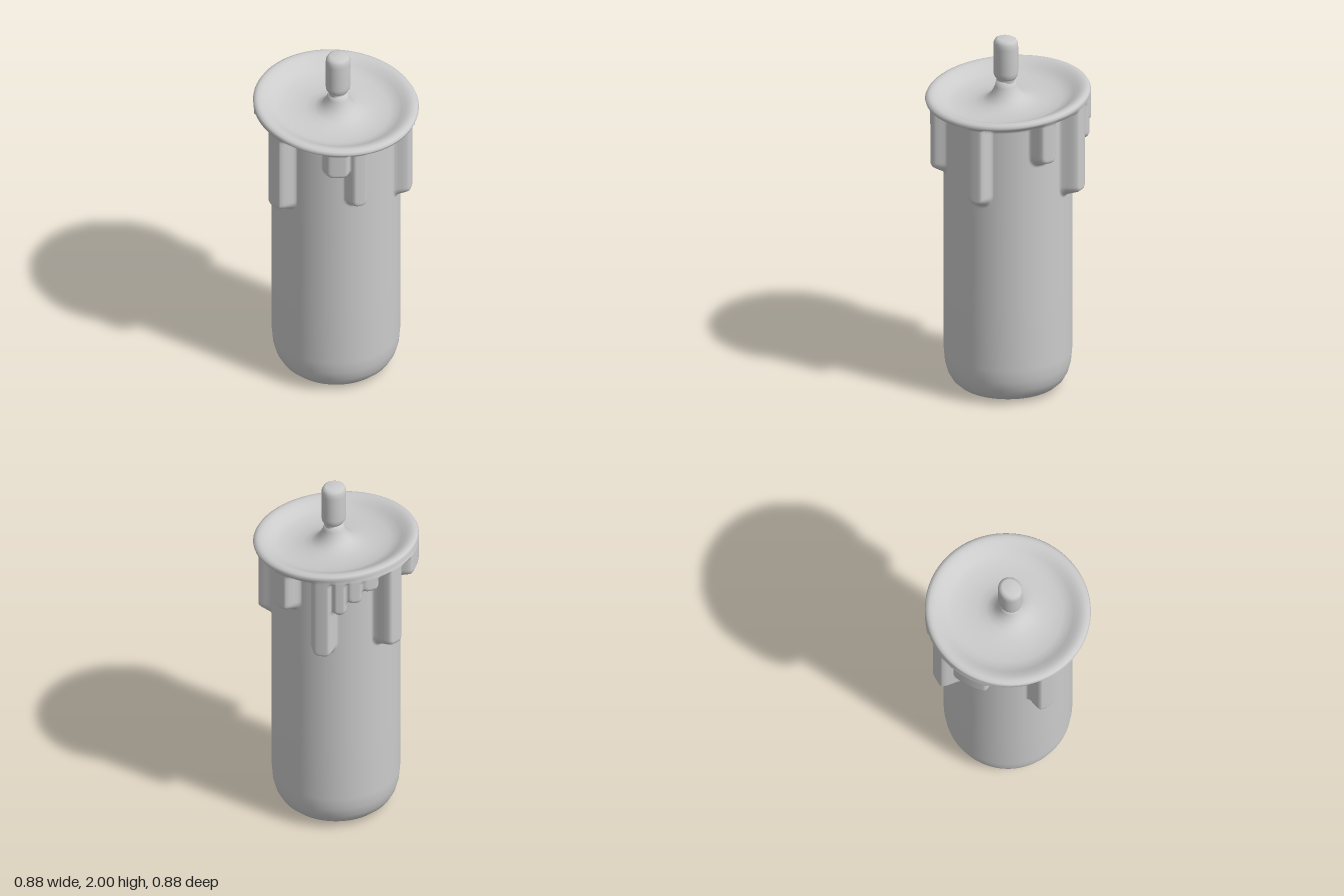
import * as THREE from 'three';

const SIDES = 256;
const material = new THREE.MeshStandardMaterial({ color: 0xcccccc });
const BODY_R = 0.342;
const smooth = THREE.MathUtils.smoothstep;

// Wax runs: angle in degrees (0 = front, 90 = +x), half width, lowest point
const drips = [
  [-8, 0.068, 1.175], [61, 0.058, 1.265], [44, 0.075, 1.465],
  [117, 0.058, 1.175], [173, 0.06, 1.405], [207, 0.062, 1.175],
  [220, 0.05, 1.45], [231, 0.055, 1.52], [243, 0.06, 1.58],
  [264, 0.064, 1.18], [290, 0.085, 1.54], [300, 0.07, 1.54],
];

// Height of the slanted top plane
const plane = (x) => 1.695 - 0.08 * x;

// How far a point on the wall lies inside the melted wax (positive = inside)
function waxDepth(angle, y) {
  let depth = y - (1.63 - 0.02 * Math.sin(angle));
  for (const [deg, half, low] of drips) {
    let da = angle - THREE.MathUtils.degToRad(deg);
    da = Math.atan2(Math.sin(da), Math.cos(da));
    const corner = 0.045;
    const qx = Math.abs(da) * 0.42 - half + corner;
    const qy = low - y + corner;
    const outside = Math.hypot(Math.max(qx, 0), Math.max(qy, 0));
    depth = Math.max(depth, corner - outside - Math.min(Math.max(qx, qy), 0));
  }
  return depth;
}

// Closed skin through rings of points running from the bottom up
function skin(rings) {
  const positions = [], index = [];
  for (const ring of rings) {
    for (let j = 0; j < SIDES; j++) {
      const a = (j / SIDES) * Math.PI * 2;
      positions.push(...ring(a));
    }
  }
  for (let i = 0; i < rings.length - 1; i++) {
    for (let j = 0; j < SIDES; j++) {
      const k = (j + 1) % SIDES;
      const a = i * SIDES + j, b = i * SIDES + k;
      index.push(a, b, b + SIDES, a, b + SIDES, a + SIDES);
    }
  }
  const geometry = new THREE.BufferGeometry();
  geometry.setAttribute('position', new THREE.Float32BufferAttribute(positions, 3));
  geometry.setIndex(index);
  geometry.computeVertexNormals();
  return geometry;
}

const point = (r, a, y, cx = 0) => [cx + r * Math.sin(a), y, r * Math.cos(a)];

function waxGeometry() {
  const rings = [];

  // Flat base with a rounded edge
  const base = [[0.001, 0], [0.12, 0], [0.2, 0], [0.235, 0.005], [0.27, 0.02], [0.3, 0.048],
    [0.322, 0.088], [0.336, 0.14], [BODY_R, 0.21], [BODY_R, 0.6], [BODY_R, 1.0]];
  for (const [r, y] of base) rings.push((a) => point(r, a, y));

  // Upper wall, pushed outward wherever melted wax covers it
  const rows = 64;
  for (let i = 0; i <= rows; i++) {
    rings.push((a) => {
      const top = plane(0.43 * Math.sin(a)) - 0.045;
      const y = THREE.MathUtils.lerp(1.08, top, i / rows);
      const outer = 0.428 - 0.016 * Math.sin(a);
      const cover = smooth(waxDepth(a, y), -0.024, 0.026);
      return point(BODY_R + (outer - BODY_R) * cover, a, y);
    });
  }

  // Rolled lip, hollow dish and the flare up to the wick
  const profile = [[0.437, -0.03], [0.441, -0.018], [0.434, -0.006], [0.418, 0], [0.398, -0.003],
    [0.375, -0.012], [0.35, -0.028], [0.325, -0.042], [0.29, -0.053], [0.23, -0.058],
    [0.17, -0.055], [0.125, -0.044], [0.095, -0.026], [0.073, 0.002], [0.058, 0.035],
    [0.05, 0.07], [0.001, 0.07]];
  for (const [r, h] of profile) {
    const shift = 0.015 * (1 - smooth(r, 0.05, 0.3));
    rings.push((a) => point(r, a, plane(shift + r * Math.sin(a)) + h, shift));
  }
  return skin(rings);
}

export function createModel() {
  const group = new THREE.Group();
  group.name = 'candle';

  const wax = new THREE.Mesh(waxGeometry(), material);
  wax.name = 'waxBody';
  group.add(wax);

  // Wick with a thicker, slightly oval head
  const outline = [[0.048, 1.7], [0.048, 1.765], [0.054, 1.775], [0.061, 1.787], [0.064, 1.81],
    [0.064, 1.95], [0.062, 1.975], [0.055, 1.99], [0.042, 1.998], [0, 2]];
  const wick = new THREE.Mesh(
    new THREE.LatheGeometry(outline.map(([r, y]) => new THREE.Vector2(r, y)), 48), material);
  wick.name = 'wick';
  wick.position.x = 0.015;
  wick.scale.z = 1.1;
  group.add(wick);

  return group;
}
